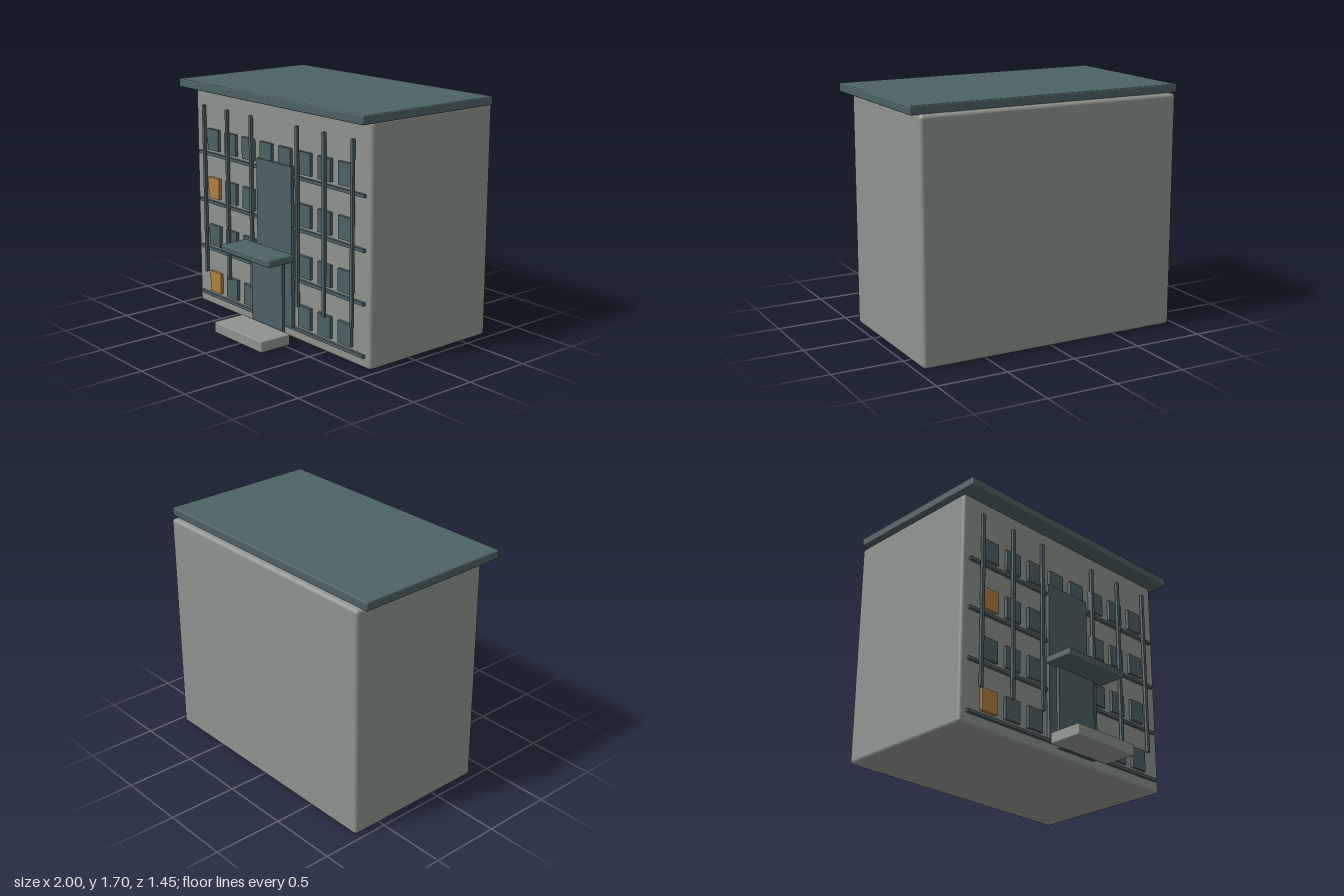
import * as THREE from 'three';
import { RoundedBoxGeometry } from 'three/addons/geometries/RoundedBoxGeometry.js';

export function createModel() {
  const building = new THREE.Group();
  building.name = 'apartmentBlock';

  const material = (name, color) => {
    const m = new THREE.MeshStandardMaterial({ color });
    m.name = name;
    return m;
  };
  const concrete = material('concrete grey', 0x8d938e);
  const slate = material('slate teal', 0x4d6166);
  const amber = material('lit window amber', 0xb08040);

  // Box given by its extents; a radius rounds its edges
  const block = (name, mat, [x0, x1], [y0, y1], [z0, z1], radius = 0) => {
    const size = [x1 - x0, y1 - y0, z1 - z0];
    const geometry = radius
      ? new RoundedBoxGeometry(...size, 3, radius)
      : new THREE.BoxGeometry(...size);
    const mesh = new THREE.Mesh(geometry, mat);
    mesh.name = name;
    mesh.position.set((x0 + x1) / 2, (y0 + y1) / 2, (z0 + z1) / 2);
    building.add(mesh);
  };
  const around = (centre, size) => [centre - size / 2, centre + size / 2];

  // Main body and overhanging roof slab
  block('walls', concrete, [-0.96, 0.955], [0.003, 1.647], [-0.72, 0.365], 0.025);
  block('roof', slate, [-1, 1], [1.64, 1.7], [-0.675, 0.485], 0.008);

  // Four floors: a ledge and a row of windows each
  for (let floor = 0; floor < 4; floor++) {
    const y = floor * 0.3585;
    block('floorLedge', slate, [-0.91, 0.905], around(0.087 + y, 0.022), [0.366, 0.386]);
    for (let column = 0; column < 8; column++) {
      const behindStairwell = floor < 3 && (column === 3 || column === 4);
      if (behindStairwell) continue;
      const lit = column === 0 && floor % 2 === 0;
      block(lit ? 'litWindow' : 'window', lit ? amber : slate,
        around(-0.727 + column * 0.207, 0.13), around(0.198 + y, 0.155), [0.366, 0.388]);
    }
  }

  // Vertical fins in front of the facade
  for (const x of [-0.815, -0.535, -0.256, 0.251, 0.53, 0.81]) {
    block('facadeFin', slate, around(x, 0.024), [0.268, 1.52], [0.388, 0.408]);
  }

  // Tall stairwell panel, and the entrance in front of it
  block('stairwellPanel', slate, [-0.195, 0.188], [0.095, 1.232], [0.372, 0.398]);
  block('door', slate, [-0.174, 0.169], [0.015, 0.595], [0.442, 0.466]);
  block('canopy', slate, [-0.273, 0.267], [0.592, 0.642], [0.437, 0.656], 0.008);
  block('entranceStep', concrete, [-0.273, 0.267], [0.01, 0.09], [0.478, 0.725], 0.008);

  // Ground the model
  building.children.forEach((part) => { if (part.name === 'walls') part.position.y -= 0.003; });
  return building;
}
